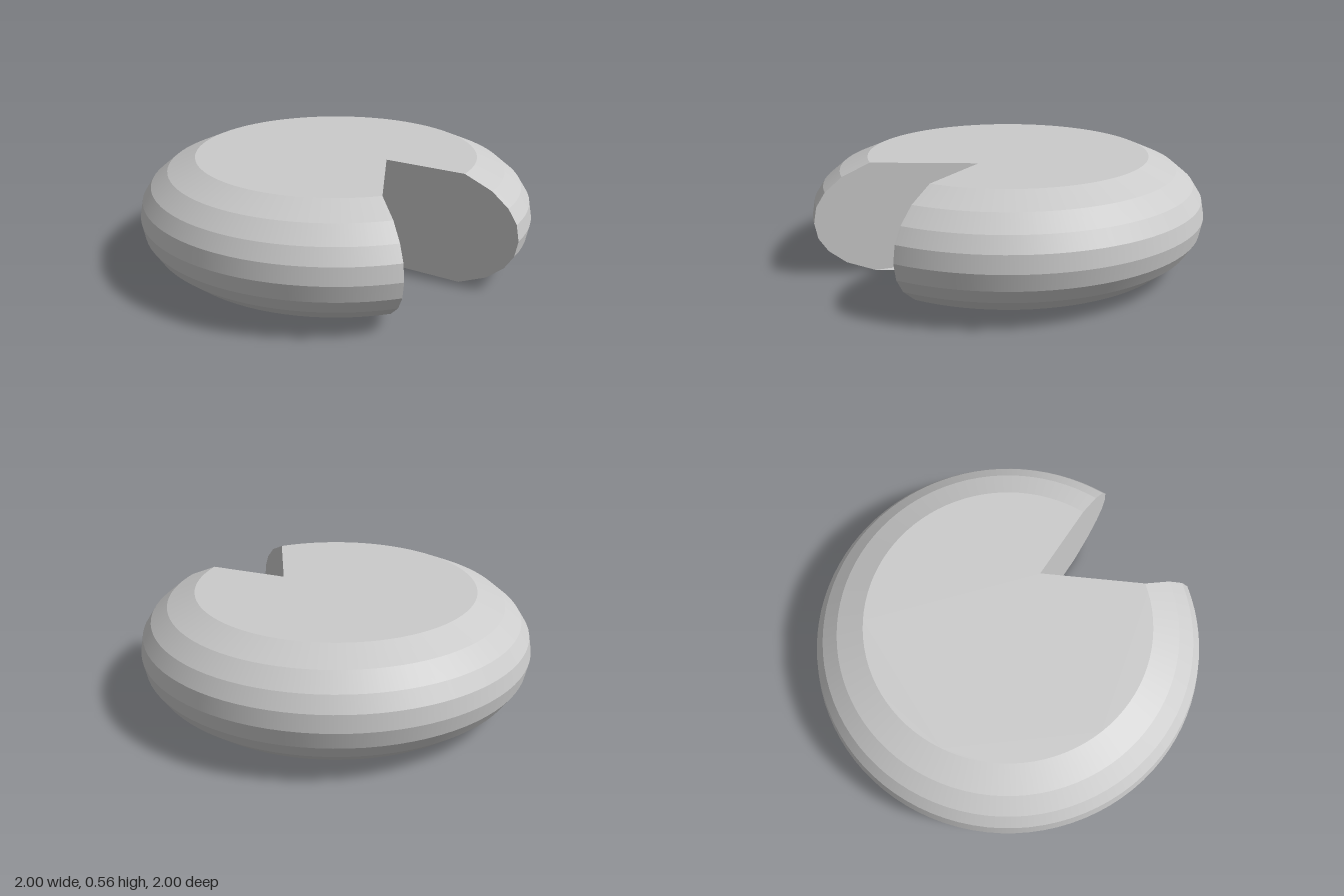
import * as THREE from 'three';
import { mergeGeometries } from 'three/addons/utils/BufferGeometryUtils.js';

const HEIGHT = 0.56;
const CUT_BACK = THREE.MathUtils.degToRad(6.6);   // cut angles, from +x towards +z
const CUT_FRONT = THREE.MathUtils.degToRad(47.8);
const SWEEP = Math.PI * 2 - (CUT_FRONT - CUT_BACK);
const SEGMENTS = 80;

// Rounded rim, bottom to top: [radius, y]
const PROFILE = [
  [0.715, 0], [0.855, 0.06], [0.94, 0.13], [0.985, 0.2], [1, 0.28],
  [0.985, 0.36], [0.94, 0.43], [0.855, 0.5], [0.715, HEIGHT],
].map(([r, y]) => new THREE.Vector2(r, y));

export function createModel() {
  const group = new THREE.Group();
  const material = new THREE.MeshStandardMaterial({ color: 0xcccccc, side: THREE.DoubleSide });
  const add = (name, geometry) => {
    const mesh = new THREE.Mesh(geometry, material);
    mesh.name = name;
    group.add(mesh);
    return mesh;
  };

  // Rind: one separate band per profile step, smooth around and crisp between bands
  const bands = PROFILE.slice(1).map((p, i) =>
    new THREE.LatheGeometry([PROFILE[i], p], SEGMENTS, Math.PI / 2 - CUT_BACK, SWEEP));
  add('rind', mergeGeometries(bands));

  // Flat caps: open disc whose notch ends off-centre, on the back cut
  const capPoints = [new THREE.Vector2(0.297 * Math.cos(CUT_BACK), -0.297 * Math.sin(CUT_BACK))];
  for (let i = 0; i <= SEGMENTS; i++) {
    const a = CUT_FRONT + (SWEEP * i) / SEGMENTS;
    capPoints.push(new THREE.Vector2(PROFILE[0].x * Math.cos(a), -PROFILE[0].x * Math.sin(a)));
  }
  const top = new THREE.ShapeGeometry(new THREE.Shape(capPoints)).rotateX(-Math.PI / 2);
  add('topCap', top).position.y = HEIGHT;
  const bottomPoints = capPoints.map((p) => new THREE.Vector2(p.x, -p.y));
  add('bottomCap', new THREE.ShapeGeometry(new THREE.Shape(bottomPoints)).rotateX(Math.PI / 2));

  // Cut faces: the half section, running from the axis to the rim
  const section = new THREE.Shape([
    new THREE.Vector2(0, 0), ...PROFILE, new THREE.Vector2(0, HEIGHT),
  ]);
  for (const [name, angle] of [['backCutFace', CUT_BACK], ['frontCutFace', CUT_FRONT]]) {
    add(name, new THREE.ShapeGeometry(section)).rotation.y = -angle;
  }

  return group;
}
